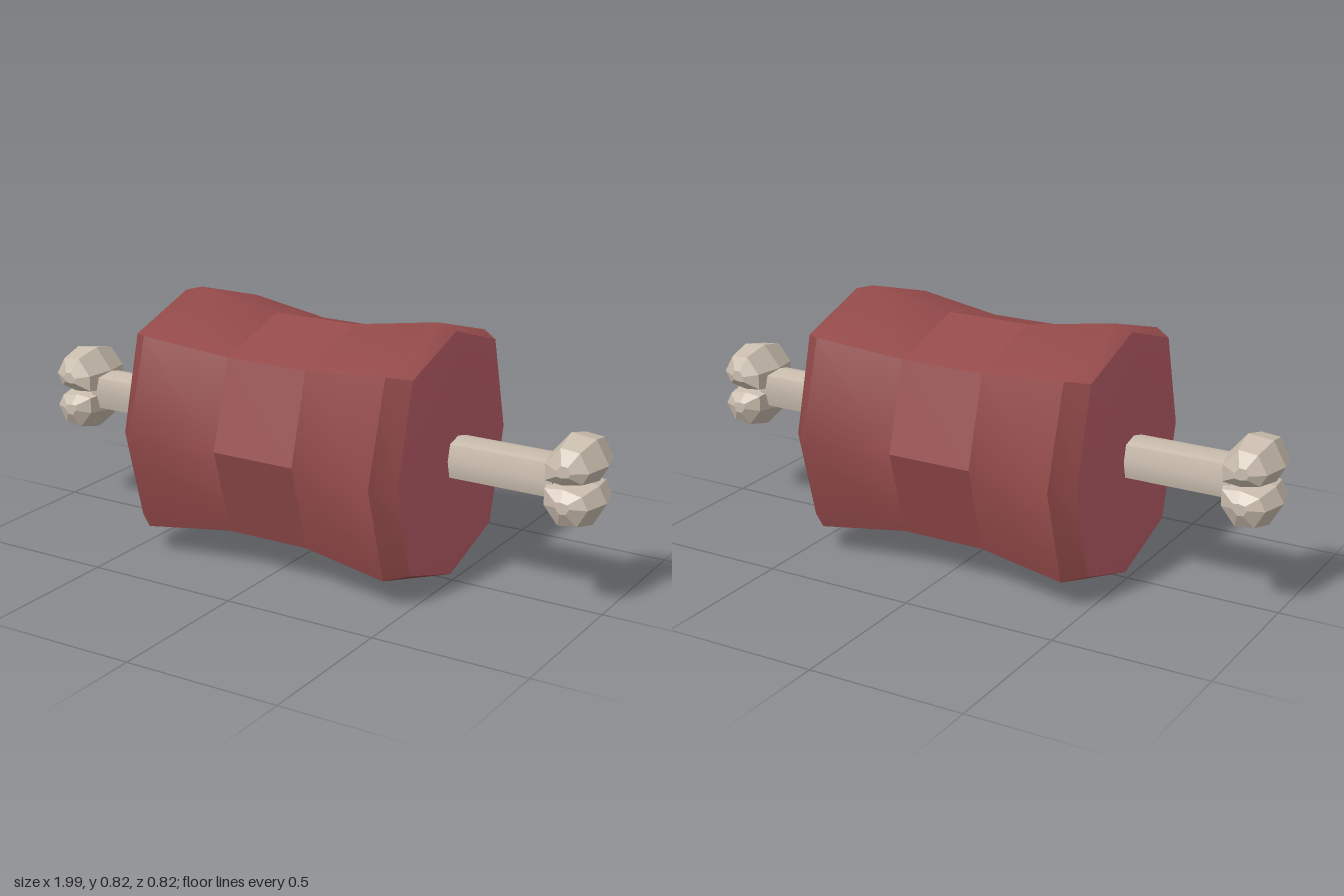
import * as THREE from 'three';
import { toCreasedNormals } from 'three/addons/utils/BufferGeometryUtils.js';

const CENTER_Y = 0.408;

// Skin closed rings of points, each counter-clockwise about the loft direction
function loft(rings, capStart = false, capEnd = false) {
  const n = rings[0].length;
  const index = [];
  for (let i = 0; i < rings.length - 1; i++) {
    for (let j = 0; j < n; j++) {
      const k = (j + 1) % n;
      const a = i * n + j, b = i * n + k, c = b + n, d = a + n;
      index.push(a, b, c, a, c, d);
    }
  }
  const last = (rings.length - 1) * n;
  for (let j = 1; j < n - 1; j++) {
    if (capStart) index.push(0, j + 1, j);
    if (capEnd) index.push(last, last + j, last + j + 1);
  }
  const geometry = new THREE.BufferGeometry();
  geometry.setAttribute('position', new THREE.Float32BufferAttribute(rings.flat(2), 3));
  geometry.setIndex(index);
  return geometry;
}

// Eight-sided rounded square around the x axis: axis reach, then corner reach
function octagon(x, y, z, cornerY, cornerZ) {
  return [
    [x, y, 0], [x, cornerY, cornerZ], [x, 0, z], [x, -cornerY, cornerZ],
    [x, -y, 0], [x, -cornerY, -cornerZ], [x, 0, -z], [x, cornerY, -cornerZ],
  ];
}

function flat(geometry) {
  const g = geometry.toNonIndexed();
  g.computeVertexNormals();
  return g;
}

export function createModel() {
  const model = new THREE.Group();
  model.name = 'meatOnBone';
  const meat = new THREE.MeshStandardMaterial({ color: 0x944a4a });
  const cut = new THREE.MeshStandardMaterial({ color: 0xb95d68 });
  const bone = new THREE.MeshStandardMaterial({ color: 0xcabdae });
  const boneFlat = bone.clone();
  boneFlat.flatShading = true;

  const add = (parent, name, geometry, material) => {
    const mesh = new THREE.Mesh(geometry, material);
    mesh.name = name;
    parent.add(mesh);
    return mesh;
  };

  // Narrow faceted waist of the meat
  const waist = (x) => octagon(x, 0.362, 0.362, 0.282, 0.282);
  add(model, 'meatWaist', flat(loft([waist(-0.14), waist(0.14)])), meat);

  // Bone shaft running right through
  const shaft = (x) => octagon(x, 0.066, 0.066, 0.053, 0.053);
  add(model, 'boneShaft', toCreasedNormals(loft([shaft(-0.85), shaft(0.85)], true, true), 0.75), bone);

  // Flared meat end with its bevelled rim
  const rim = octagon(0.493, 0.39, 0.345, 0.303, 0.265);
  const flare = toCreasedNormals(
    loft([waist(0.14), octagon(0.43, 0.408, 0.408, 0.315, 0.315), rim]), 0.75);

  // Slightly domed cut face
  const face = loft([rim, octagon(0.508, 0.26, 0.26, 0.203, 0.2)], false, true);
  face.computeVertexNormals();

  // One knob lobe: side outline shrunk toward its middle across z
  const outline = [
    [0.815, 0], [0.89, -0.008], [0.97, 0.008], [0.997, 0.058],
    [0.955, 0.132], [0.875, 0.14], [0.815, 0.068],
  ];
  const slices = [[-0.115, 0.25], [-0.09, 0.76], [0, 1], [0.09, 0.76], [0.115, 0.25]];
  const lobe = flat(loft(slices.map(([z, s]) =>
    outline.map(([x, y]) => [0.905 + (x - 0.905) * s, 0.052 + (y - 0.052) * s, z])), true, true));

  // Both ends are the same, turned about the vertical
  for (const side of ['left', 'right']) {
    const end = new THREE.Group();
    end.name = side + 'End';
    add(end, 'meatFlare', flare, meat);
    add(end, 'cutFace', face, cut);
    add(end, 'upperKnob', lobe, boneFlat);
    add(end, 'lowerKnob', lobe, boneFlat).rotation.x = Math.PI;
    if (side === 'right') end.rotation.y = Math.PI;
    model.add(end);
  }

  model.children.forEach((part) => { part.position.y = CENTER_Y; });
  return model;
}
